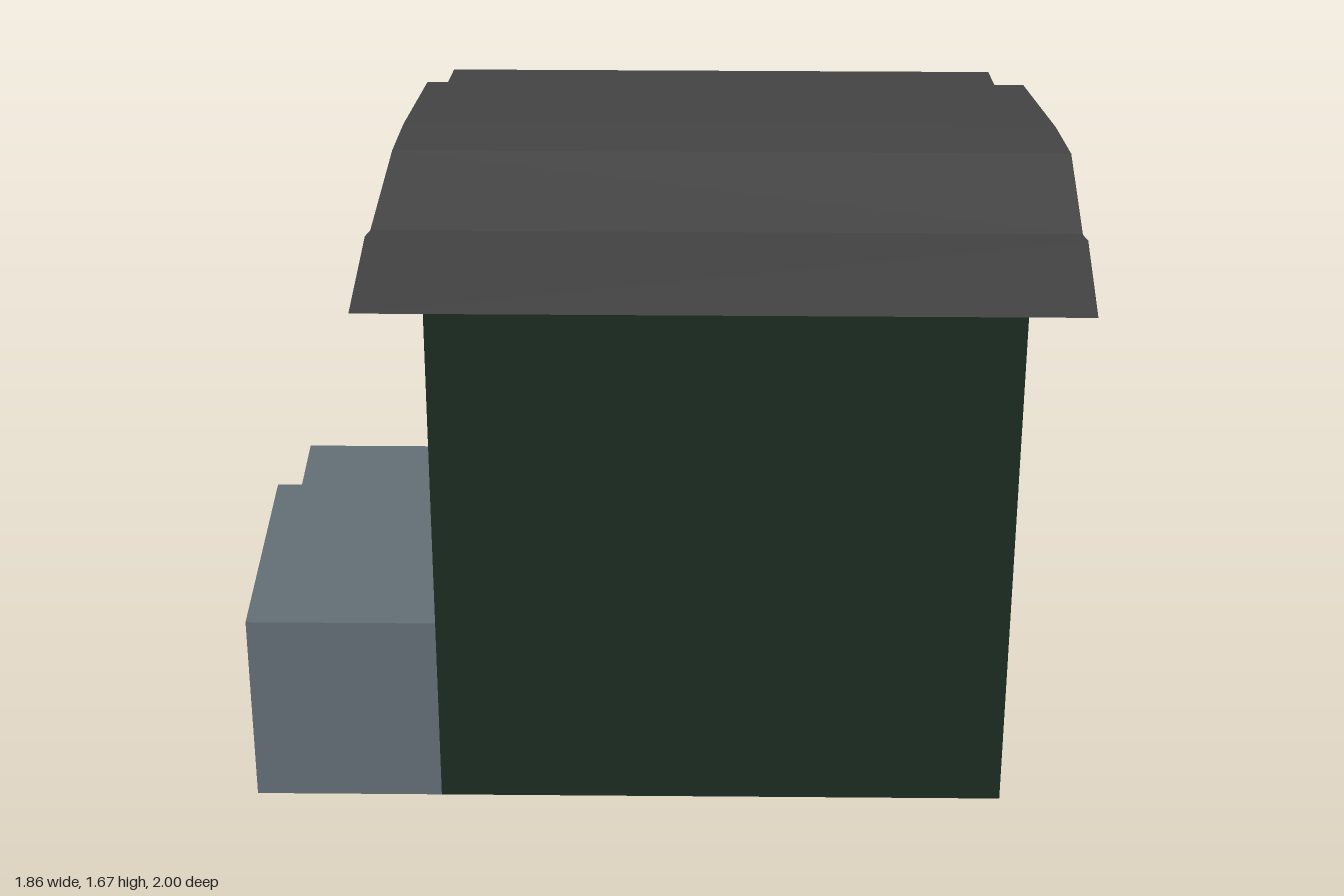
import * as THREE from 'three';

const mat = (color, side = THREE.FrontSide) =>
  new THREE.MeshStandardMaterial({ color, side, flatShading: true });

// Extrudes a side profile of [z, y] points between two x positions
function sideSlab(name, points, x0, x1, material) {
  const shape = new THREE.Shape(points.map(([z, y]) => new THREE.Vector2(z, y)));
  const geo = new THREE.ExtrudeGeometry(shape, { depth: x1 - x0, bevelEnabled: false });
  geo.rotateY(-Math.PI / 2).translate(x1, 0, 0);
  const mesh = new THREE.Mesh(geo, material);
  mesh.name = name;
  return mesh;
}

// Lofts four-cornered sections, ordered front to back, and caps both ends
function loft(sections) {
  const pos = [], index = [];
  sections.forEach(([zb, yb, bl, br, zt, yt, tl, tr]) =>
    pos.push(bl, yb, zb, br, yb, zb, tr, yt, zt, tl, yt, zt));
  const quad = (a, b, c, d) => index.push(a, b, c, a, c, d);
  for (let i = 0; i < sections.length - 1; i++) {
    for (let k = 0; k < 4; k++) {
      const a = i * 4 + k, b = i * 4 + (k + 1) % 4;
      quad(a, a + 4, b + 4, b);
    }
  }
  const e = (sections.length - 1) * 4;
  quad(0, 1, 2, 3);
  quad(e + 3, e + 2, e + 1, e);
  const geo = new THREE.BufferGeometry();
  geo.setAttribute('position', new THREE.Float32BufferAttribute(pos, 3));
  geo.setIndex(index);
  const flat = geo.toNonIndexed();
  flat.computeVertexNormals();
  return flat;
}

export function createModel() {
  const group = new THREE.Group();
  const wallMat = mat(0x1c2b20);
  const roofMat = mat(0x474747);
  const stepMat = mat(0x626e75);
  const darkMat = mat(0x0e0e0e);

  const XL = -0.5, XR = 0.8, ZB = -0.88, ZF = 0.84;
  const doorL = -0.25, doorR = 0.285, doorTop = 0.71, doorBack = -0.5;
  const floorT = 0.008, floorEnd = -0.38;

  // Walls: main block, then the two jambs and lintel around the doorway
  const walls = new THREE.Group();
  walls.name = 'walls';
  const yBack = 0.99, yDoor = 1.07;
  walls.add(sideSlab('mainBlock', [
    [doorBack, floorT], [floorEnd, floorT], [floorEnd, 0], [ZF, 0],
    [ZF, 1.33], [0.25, 1.23], [doorBack, yDoor],
  ], XL, XR, wallMat));
  const jamb = [[ZB, floorT], [doorBack, floorT], [doorBack, yDoor], [ZB, yBack]];
  walls.add(sideSlab('rightJamb', jamb, XL, doorL, wallMat));
  walls.add(sideSlab('leftJamb', jamb, doorR, XR, wallMat));
  walls.add(sideSlab('lintel',
    [[ZB, doorTop], [doorBack, doorTop], [doorBack, yDoor], [ZB, yBack]], doorL, doorR, wallMat));
  group.add(walls);

  // Dark base panel beneath the doorway end
  group.add(sideSlab('basePanel',
    [[ZB, 0], [floorEnd, 0], [floorEnd, floorT], [ZB, floorT]], XL, XR, darkMat));

  // Alcove lining, an inward-facing box open at the back
  const w = doorR - doorL - 0.004, h = doorTop - floorT - 0.004, d = doorBack - ZB - 0.002;
  const liningGeo = new THREE.BoxGeometry(w, h, d);
  liningGeo.setIndex(Array.from(liningGeo.index.array).slice(0, 30));
  const lining = new THREE.Mesh(liningGeo, mat(0x101010, THREE.BackSide));
  lining.name = 'doorwayLining';
  lining.position.set((doorL + doorR) / 2, (doorTop + floorT) / 2, ZB + d / 2);
  group.add(lining);

  // Stepped roof: bottom z, y, left x, right x, then the same for the top
  const roof = new THREE.Mesh(loft([
    [1.0, 1.35, -0.64, 0.925, 0.98, 1.52, -0.6, 0.895],
    [0.93, 1.338, -0.638, 0.923, 0.92, 1.505, -0.595, 0.89],
    [0.9, 1.333, -0.637, 0.922, 0.89, 1.675, -0.545, 0.86],
    [0.69, 1.297, -0.63, 0.916, 0.69, 1.645, -0.54, 0.85],
    [0.25, 1.222, -0.616, 0.905, 0.21, 1.535, -0.53, 0.83],
    [0.22, 1.215, -0.615, 0.904, 0.2, 1.44, -0.55, 0.86],
    [-0.32, 1.1, -0.597, 0.889, -0.32, 1.295, -0.55, 0.835],
    [-0.37, 1.09, -0.596, 0.888, -0.37, 1.21, -0.568, 0.862],
    [-0.88, 0.978, -0.58, 0.873, -0.88, 1.1, -0.56, 0.86],
    [-1.0, 0.957, -0.575, 0.87, -0.975, 1.055, -0.563, 0.86],
  ]), roofMat);
  roof.name = 'roof';
  group.add(roof);

  // Two steps against the right wall
  group.add(sideSlab('steps', [
    [-0.37, 0], [ZF, 0], [ZF, 0.475], [0.23, 0.475], [0.23, 0.237], [-0.37, 0.237],
  ], -0.93, XL, stepMat));

  return group;
}
